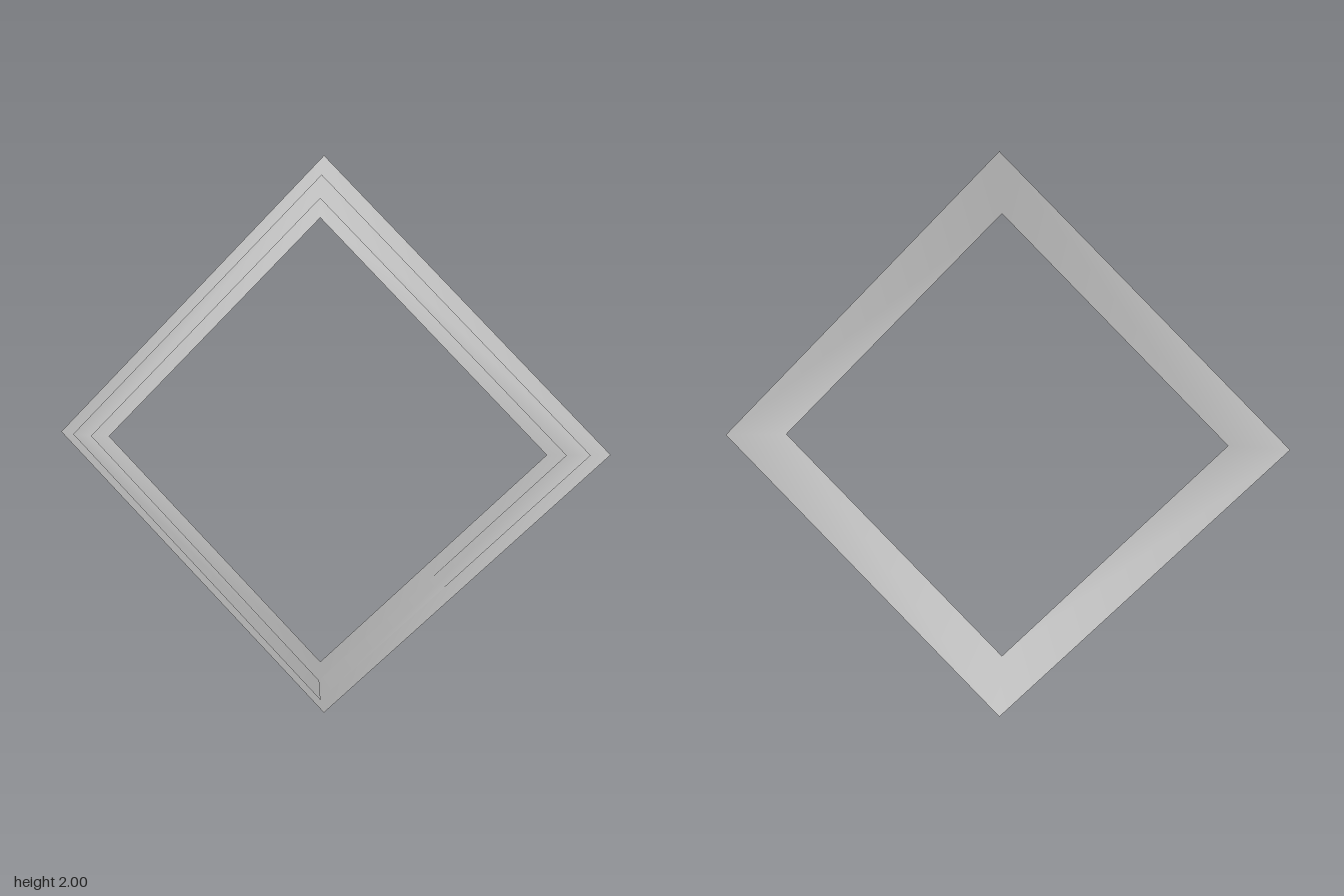
import * as THREE from 'three';

const material = new THREE.MeshStandardMaterial({ color: 0xcccccc, side: THREE.DoubleSide });

const OUTER = 1;
const INNER = 0.79;

// Depth of the sloping frame at a given radius
const slope = (r) => THREE.MathUtils.mapLinear(r, OUTER, INNER, -0.035, 0.019);

// Square row of corners, counter-clockwise from the bottom, raised from lift0 to lift1 over one turn
function row(r, count, lift0 = 0, lift1 = 0) {
  return Array.from({ length: count }, (_, k) => {
    const a = -Math.PI / 2 + (k * Math.PI) / 2;
    const z = slope(r) + THREE.MathUtils.lerp(lift0, lift1, k / 4);
    return [r * Math.cos(a), 1 + r * Math.sin(a), z];
  });
}

// Thin smooth band of quads between an outer and an inner row
function band(name, outer, inner, closed) {
  const n = outer.length;
  const index = [];
  for (let k = 0; k < (closed ? n : n - 1); k++) {
    const m = (k + 1) % n;
    index.push(k, m, n + m, k, n + m, n + k);
  }
  const geometry = new THREE.BufferGeometry();
  geometry.setAttribute('position', new THREE.Float32BufferAttribute([...outer, ...inner].flat(), 3));
  geometry.setIndex(index);
  geometry.computeVertexNormals();
  const mesh = new THREE.Mesh(geometry, material);
  mesh.name = name;
  return mesh;
}

export function createModel() {
  const group = new THREE.Group();
  group.name = 'diamondFrame';

  // Closed sloping frame
  group.add(band('frame', row(OUTER, 4), row(INNER, 4), true));

  // Narrow open strip above it, rising steadily from the bottom corner round to its free end
  group.add(band('risingStrip', row(0.935, 5, 0.001, 0.034), row(0.855, 5, 0.001, 0.034), false));

  return group;
}
